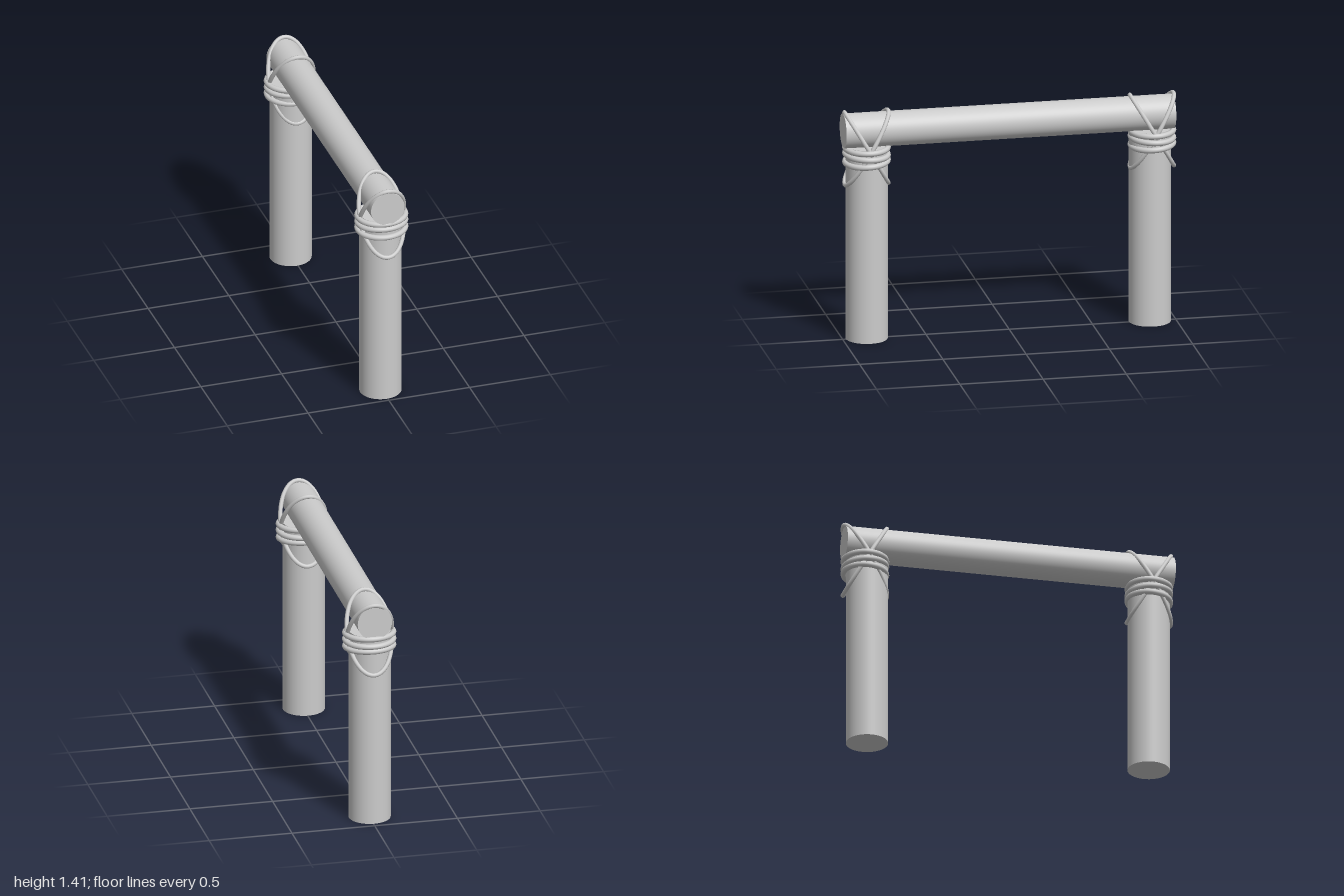
import * as THREE from 'three';

const material = new THREE.MeshStandardMaterial({ color: 0xcccccc });

function log(name, radius, length) {
  const mesh = new THREE.Mesh(new THREE.CylinderGeometry(radius, radius, length, 48), material);
  mesh.name = name;
  return mesh;
}

// Closed elliptical rope; heightAt gives y for each angle
function ropeLoop(name, rx, rz, thickness, heightAt) {
  const points = [];
  for (let i = 0; i < 32; i++) {
    const a = (i / 32) * Math.PI * 2;
    points.push(new THREE.Vector3(rx * Math.cos(a), heightAt(Math.sin(a)), rz * Math.sin(a)));
  }
  const path = new THREE.CatmullRomCurve3(points, true);
  const mesh = new THREE.Mesh(new THREE.TubeGeometry(path, 80, thickness, 10, true), material);
  mesh.name = name;
  return mesh;
}

function lashing(name) {
  const group = new THREE.Group();
  group.name = name;
  // Horizontal wraps around the post, slightly tilted
  [[1.178, -0.003], [1.137, 0.004], [1.095, -0.008]].forEach(([y, tilt], i) => {
    group.add(ropeLoop('ropeWrap' + (i + 1), 0.144, 0.126, 0.017, s => y + tilt * s));
  });
  // Crossed diagonal loops, over the beam and under on the post
  for (const side of [1, -1]) {
    group.add(ropeLoop(side > 0 ? 'crossRopeFront' : 'crossRopeBack', 0.133, 0.13, 0.013,
      s => 1.175 + side * 0.222 * s));
  }
  return group;
}

export function createModel() {
  const model = new THREE.Group();
  model.name = 'lashedLogFrame';

  // Horizontal beam
  const beam = log('beam', 0.104, 1.98);
  beam.rotation.x = Math.PI / 2;
  beam.position.set(-0.005, 1.283, 0.006);
  model.add(beam);

  // Posts with their rope lashings
  for (const [end, postZ, ropeZ] of [['front', 0.855, 0.857], ['back', -0.845, -0.857]]) {
    const post = log(end + 'Post', 0.125, 1.19);
    post.position.set(-0.005, 0.595, postZ);
    const ropes = lashing(end + 'Lashing');
    ropes.position.z = ropeZ;
    model.add(post, ropes);
  }
  return model;
}
